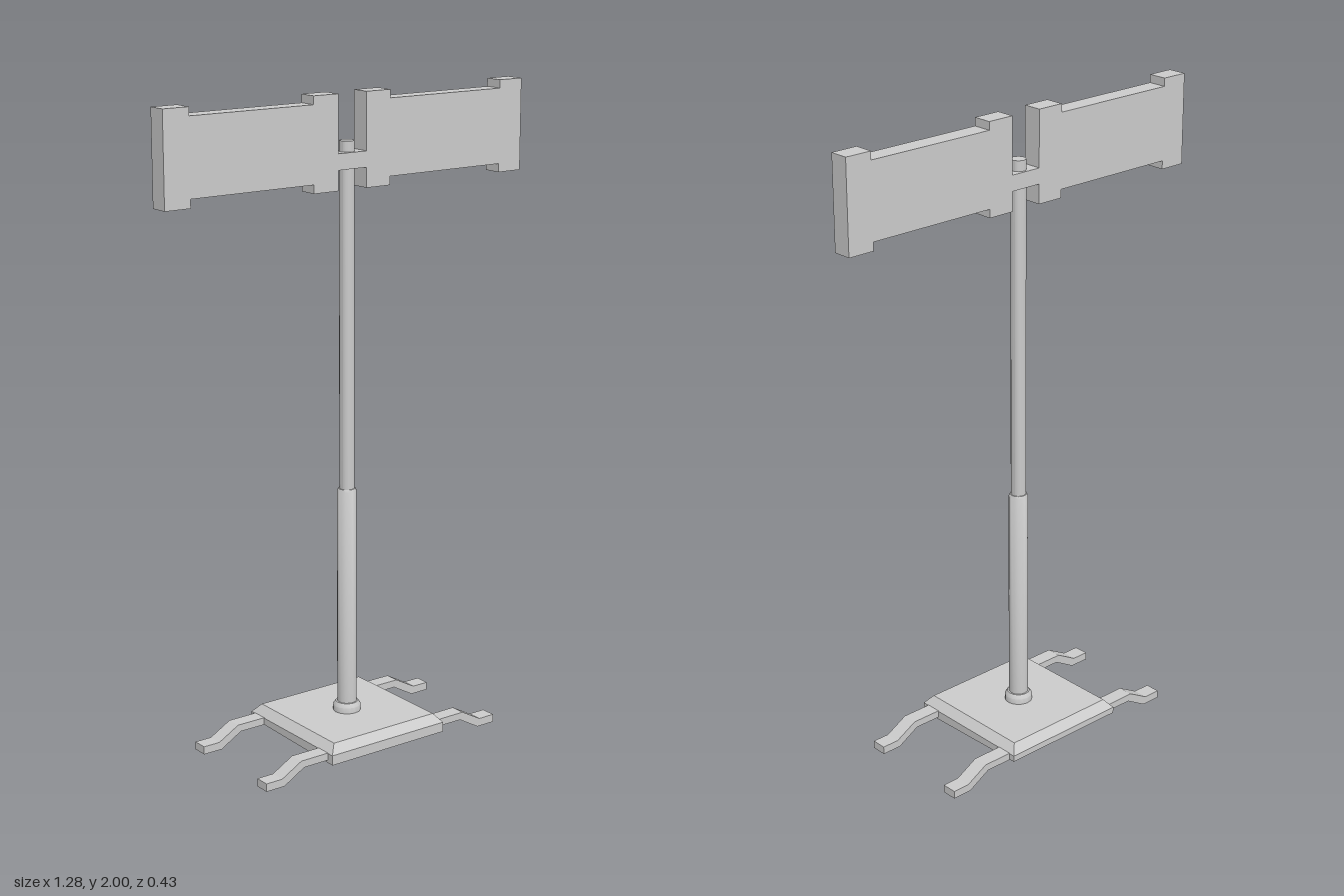
import * as THREE from 'three';
import { toCreasedNormals } from 'three/addons/utils/BufferGeometryUtils.js';

const material = new THREE.MeshStandardMaterial({ color: 0xcccccc });

function add(parent, name, geometry) {
  const mesh = new THREE.Mesh(geometry, material);
  mesh.name = name;
  parent.add(mesh);
  return mesh;
}

// Outline in x/y extruded in z, centred on z = 0
function slab(points, depth) {
  const shape = new THREE.Shape(points.map(([x, y]) => new THREE.Vector2(x, y)));
  return new THREE.ExtrudeGeometry(shape, { depth, bevelEnabled: false }).translate(0, 0, -depth / 2);
}

// Round part turned about y, with sharp rims
function turned(profile) {
  const points = profile.map(([r, y]) => new THREE.Vector2(r, y));
  return toCreasedNormals(new THREE.LatheGeometry(points, 16), 0.6);
}

// Square plate with bevelled top edges; its underside rises slightly to the back
function basePlate() {
  const rings = [[0, 0.032], [0.213, 0.032], [0.213, 0.063], [0.19, 0.09], [0, 0.09]];
  const points = rings.map(([r, y]) => new THREE.Vector2(r * Math.SQRT2, y));
  const geometry = new THREE.LatheGeometry(points, 4).rotateY(Math.PI / 4);
  const p = geometry.attributes.position;
  for (let i = 0; i < p.count; i++) {
    if (p.getY(i) < 0.04) p.setY(i, 0.0375 - p.getZ(i) * 0.026);
  }
  return toCreasedNormals(geometry, 0.2);
}

export function createModel() {
  const model = new THREE.Group();
  model.name = 'signStand';

  // Base with four cranked feet
  add(model, 'basePlate', basePlate());
  const leftLeg = [
    [0.19, 0.041], [0.3, 0.041], [0.372, 0], [0.436, 0],
    [0.436, 0.025], [0.38, 0.025], [0.31, 0.064], [0.19, 0.064],
  ];
  for (const side of [1, -1]) {
    const outline = leftLeg.map(([x, y]) => [x * side, y]);
    for (const z of [0.166, -0.169]) {
      add(model, side > 0 ? 'leftFoot' : 'rightFoot', slab(outline, 0.048)).position.z = z;
    }
  }

  // Telescoping pole
  add(model, 'collar', turned([[0, 0.085], [0.043, 0.085], [0.043, 0.108], [0.035, 0.12], [0, 0.12]]));
  add(model, 'lowerPole', turned([[0, 0.1], [0.03, 0.1], [0.03, 0.8], [0.026, 0.808], [0, 0.808]]));
  add(model, 'upperPole', turned([[0, 0.78], [0.023, 0.78], [0.023, 1.86], [0, 1.86]]));

  // Two notched panels and their bridge, one plate
  const sign = new THREE.Group();
  sign.name = 'signHead';
  sign.position.x = -0.002;
  model.add(sign);
  const panel = [
    [0.051, 1.72], [0.138, 1.72], [0.138, 1.746], [0.557, 1.746], [0.557, 1.72], [0.642, 1.72],
    [0.642, 2], [0.557, 2], [0.557, 1.975], [0.138, 1.975], [0.138, 2], [0.051, 2],
    [0.051, 1.828],
  ];
  const rightHalf = panel.map(([x, y]) => [-x, y]).reverse();
  const outline = [[0.051, 1.78], ...panel, ...rightHalf, [-0.051, 1.78]];
  add(sign, 'panels', slab(outline, 0.06));

  return model;
}
